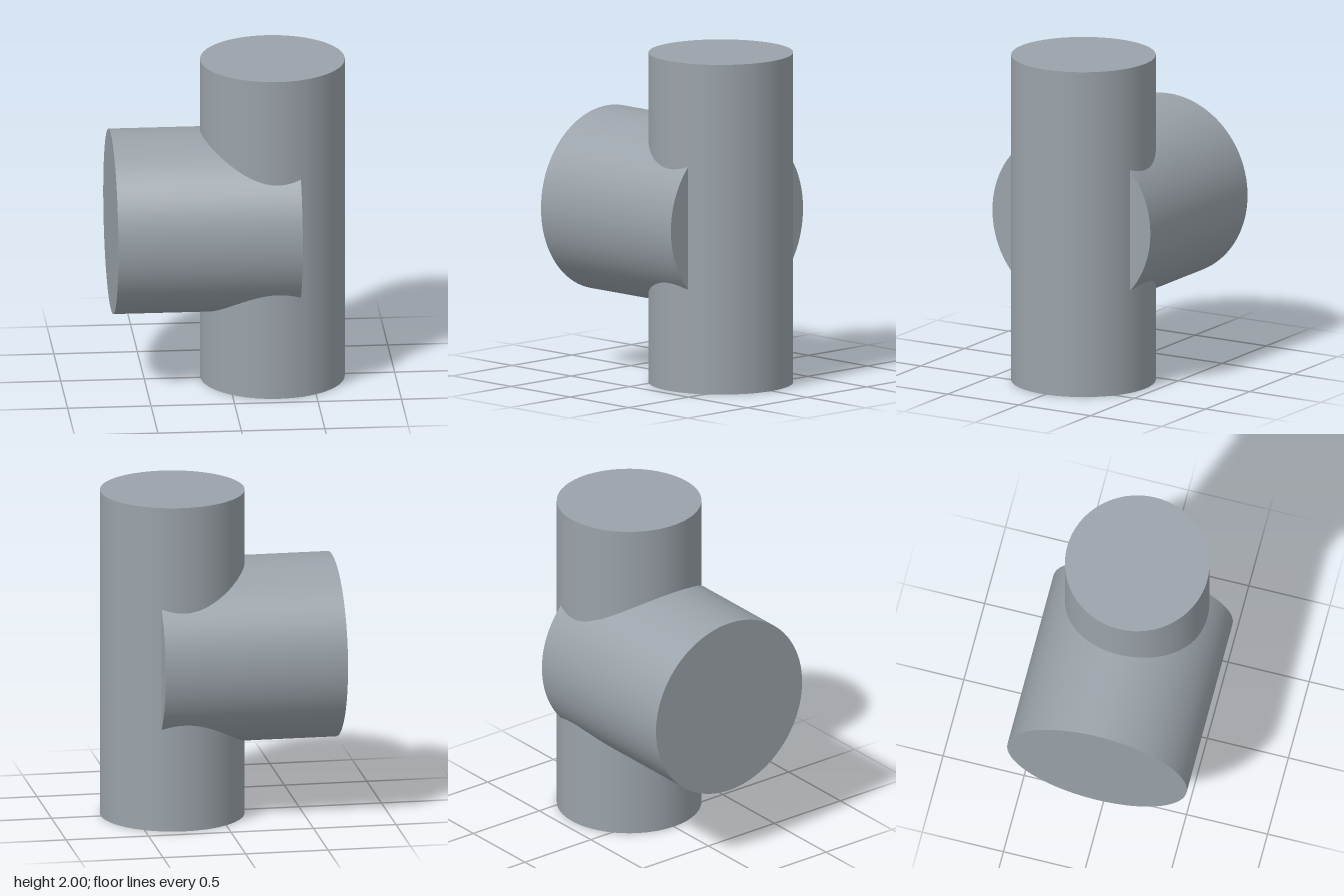
import * as THREE from 'three';

const SIDES = 96;

export function createModel() {
  const group = new THREE.Group();
  group.name = 'teeJoint';
  const steel = new THREE.MeshStandardMaterial({ color: 0x9aa2a9 });
  steel.name = 'steel grey';

  // Solid round bar with smooth walls and flat capped ends
  const addBar = (name, radius, length) => {
    const bar = new THREE.Mesh(new THREE.CylinderGeometry(radius, radius, length, SIDES), steel);
    bar.name = name;
    group.add(bar);
    return bar;
  };

  // Upright post, full height
  addBar('uprightPost', 0.432, 2).position.set(0.268, 1, 0);

  // Wider cross branch, ending just past the post's centre
  const left = -0.7, right = 0.405;
  const branch = addBar('sideBranch', 0.554, right - left);
  branch.rotation.z = Math.PI / 2;
  branch.position.set((left + right) / 2, 1, 0);

  return group;
}
